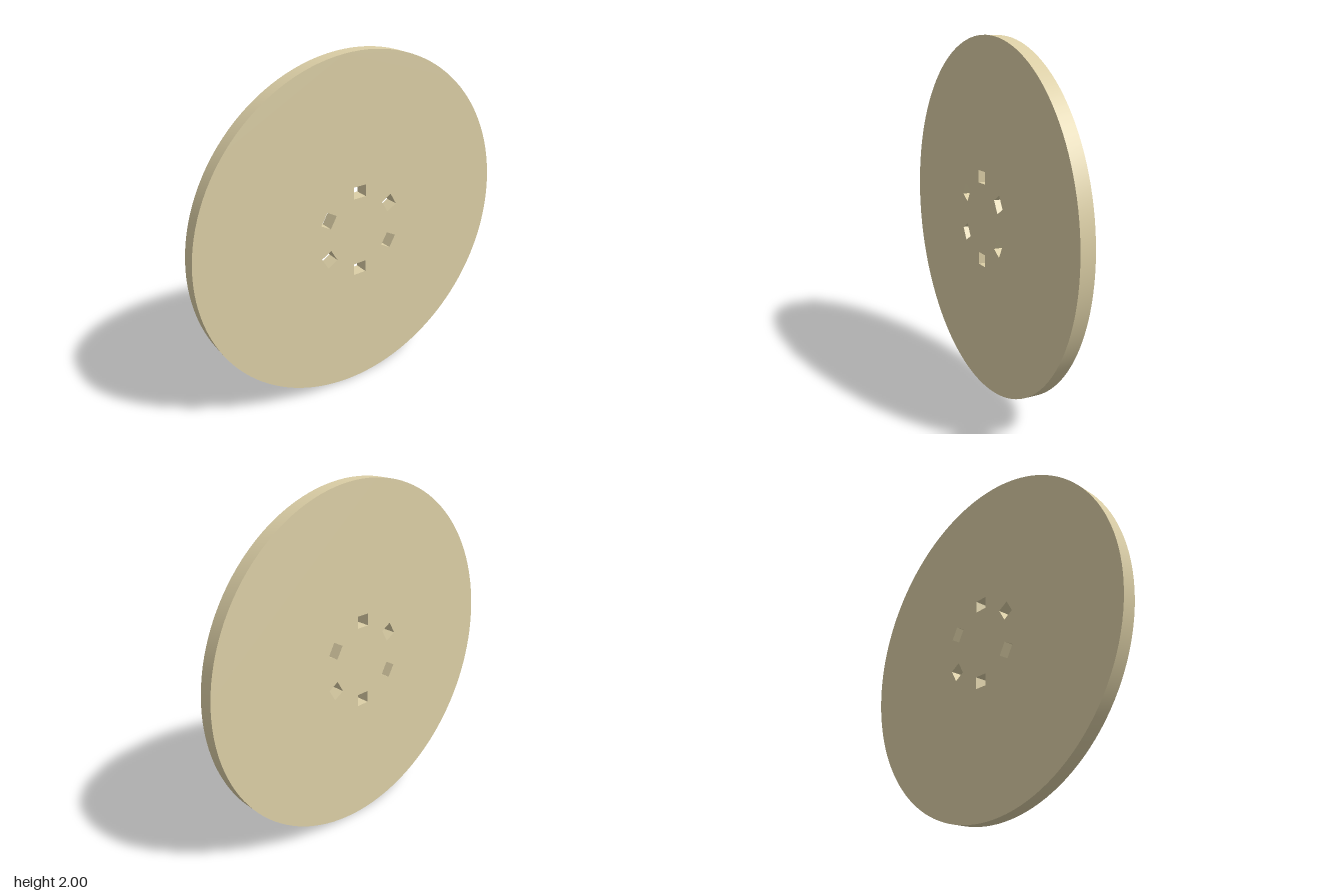
import * as THREE from 'three';
import { toCreasedNormals } from 'three/addons/utils/BufferGeometryUtils.js';

const RADIUS = 1;
const THICKNESS = 0.08;
const HOLE_COUNT = 6;
const HOLE_RADIUS = 0.237; // distance from disc centre to hole centre
const HOLE_WIDTH = 0.08; // across the radius
const HOLE_DEPTH = 0.07; // along the radius

// Rectangular hole turned to face the disc centre
function slotHole(angle) {
  const centre = new THREE.Vector2();
  const corners = [[-1, -1], [-1, 1], [1, 1], [1, -1]].map(([u, v]) =>
    new THREE.Vector2(HOLE_RADIUS + (u * HOLE_DEPTH) / 2, (v * HOLE_WIDTH) / 2)
      .rotateAround(centre, angle));
  return new THREE.Path(corners);
}

export function createModel() {
  const group = new THREE.Group();
  group.name = 'slottedDisc';

  // Round plate with a ring of holes, the first one straight up
  const outline = new THREE.Shape();
  outline.absarc(0, 0, RADIUS, 0, Math.PI * 2);
  for (let i = 0; i < HOLE_COUNT; i++) {
    outline.holes.push(slotHole(Math.PI / 2 + (i * Math.PI * 2) / HOLE_COUNT));
  }
  const plate = new THREE.ExtrudeGeometry(outline, {
    depth: THICKNESS, bevelEnabled: false, curveSegments: 64,
  });
  plate.translate(0, RADIUS, -THICKNESS / 2);

  // Smooth rim, sharp edges
  const disc = new THREE.Mesh(
    toCreasedNormals(plate, 0.5),
    new THREE.MeshStandardMaterial({ color: 0xdccfa6 }));
  disc.name = 'disc';
  group.add(disc);
  return group;
}
